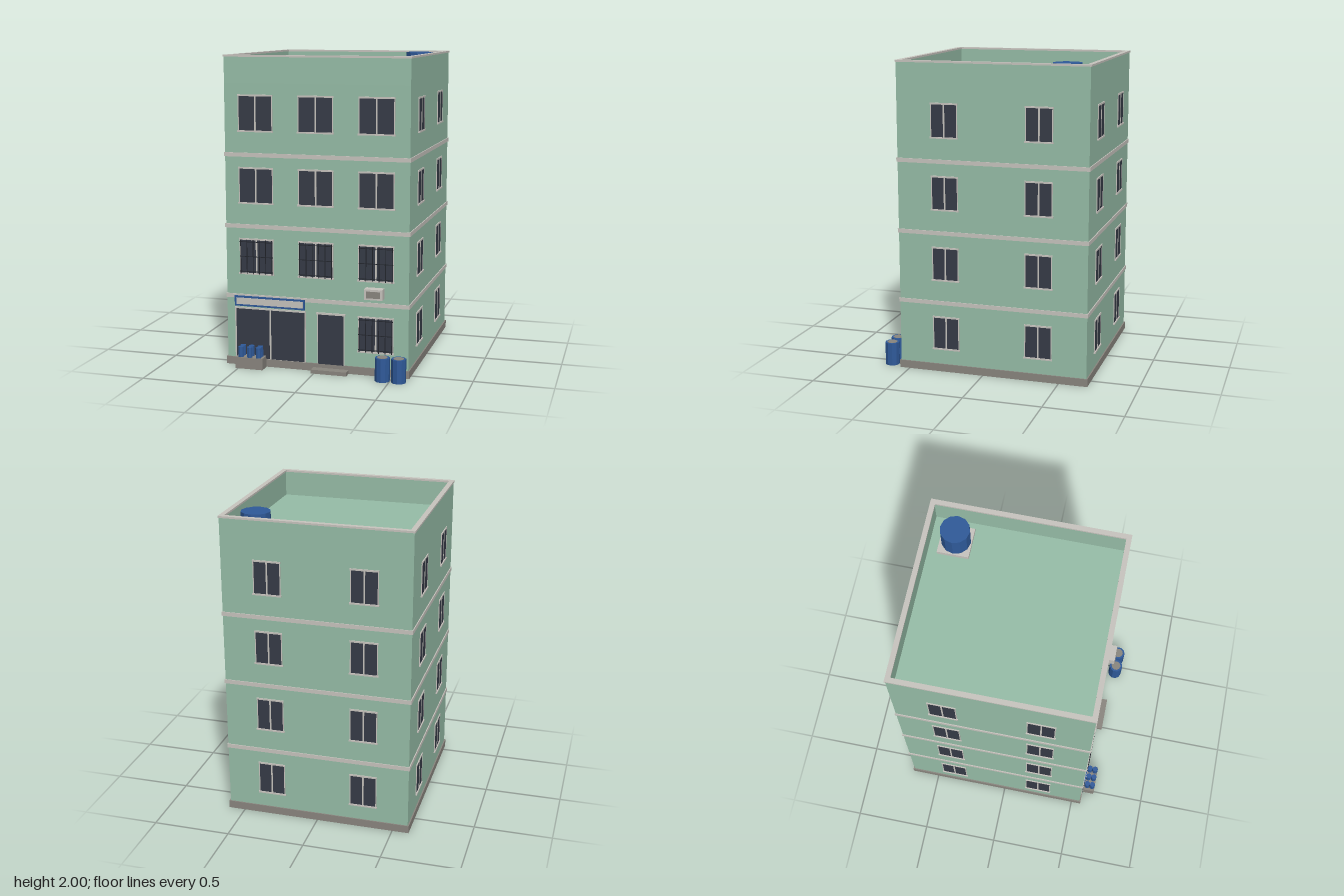
import * as THREE from 'three';

const mat = (name, color, flatShading = false) => {
  const m = new THREE.MeshStandardMaterial({ color, flatShading });
  m.name = name;
  return m;
};

export function createModel() {
  const wall = mat('green wall', 0x97bea8);
  const trim = mat('pale trim', 0xc8c5bf);
  const glass = mat('dark glass', 0x363b47);
  const stone = mat('grey concrete', 0x8a867f);
  const blue = mat('blue plastic', 0x2f5a9a, true);
  const iron = mat('black iron', 0x22252c);

  const model = new THREE.Group();
  model.name = 'apartmentBuilding';

  // Outer faces of the walls
  const X = 0.6, Z0 = -0.679, Z1 = 0.558, ROOF = 1.825, STOREY = 0.458;

  const add = (parent, name, geometry, material) => {
    const mesh = new THREE.Mesh(geometry, material);
    mesh.name = name;
    parent.add(mesh);
    return mesh;
  };
  // Box given by its limits on each axis
  const box = (parent, name, material, x0, x1, y0, y1, z0, z1) => {
    const mesh = add(parent, name, new THREE.BoxGeometry(x1 - x0, y1 - y0, z1 - z0), material);
    mesh.position.set((x0 + x1) / 2, (y0 + y1) / 2, (z0 + z1) / 2);
    return mesh;
  };
  const cylinder = (parent, name, material, r, y0, y1, x, z, sides) => {
    const mesh = add(parent, name, new THREE.CylinderGeometry(r, r, y1 - y0, sides), material);
    mesh.position.set(x, (y0 + y1) / 2, z);
    return mesh;
  };
  // Rectangular ring around the building, from 'out' outside the wall to 'inn' inside it
  const rect = (Type, d) => new Type([
    [-X - d, -Z1 - d], [X + d, -Z1 - d], [X + d, -Z0 + d], [-X - d, -Z0 + d],
  ].map(([x, y]) => new THREE.Vector2(x, y)));
  const ring = (name, material, out, inn, y0, y1) => {
    const shape = rect(THREE.Shape, out);
    shape.holes.push(rect(THREE.Path, -inn));
    const geometry = new THREE.ExtrudeGeometry(shape, { depth: y1 - y0, bevelEnabled: false });
    geometry.rotateX(-Math.PI / 2);
    add(model, name, geometry, material).position.y = y0;
  };

  // Main shell
  box(model, 'body', wall, -X, X, 0, ROOF, Z0, Z1);
  ring('parapet', wall, 0, 0.022, ROOF, 1.988);
  ring('parapetCoping', trim, 0.005, 0.027, 1.988, 2);
  ring('plinth', stone, 0.008, 0.01, 0, 0.05);
  for (let i = 1; i < 4; i++) {
    const y = STOREY * i + 0.001;
    ring('floorBand', trim, 0.006, 0.01, y - 0.013, y + 0.013);
  }

  // Facades: local +z points out of the wall, local z = 0 is the wall face
  const facade = (name, x, z, angle) => {
    const g = new THREE.Group();
    g.name = name;
    g.position.set(x, 0, z);
    g.rotation.y = angle;
    model.add(g);
    return g;
  };
  const front = facade('frontFacade', 0, Z1, 0);
  const back = facade('backFacade', 0, Z0, Math.PI);
  const left = facade('leftFacade', X, 0, Math.PI / 2);
  const right = facade('rightFacade', -X, 0, -Math.PI / 2);

  // Two-pane window with lintel, sill and an optional iron grille
  const addWindow = (parent, x, y, w, h, barred = false) => {
    const g = new THREE.Group();
    g.name = 'window';
    g.position.set(x, y, 0);
    parent.add(g);
    const a = w / 2;
    box(g, 'windowGlass', glass, -a, a, 0.008, h - 0.01, -0.01, 0.003);
    box(g, 'windowMullion', trim, -0.005, 0.005, 0.008, h - 0.01, -0.01, 0.005);
    for (const s of [-1, 1]) box(g, 'windowJamb', trim, s * a - 0.003, s * a + 0.003, 0.008, h - 0.01, -0.01, 0.005);
    box(g, 'windowLintel', trim, -a - 0.005, a + 0.005, h - 0.011, h, -0.01, 0.006);
    box(g, 'windowSill', trim, -a - 0.008, a + 0.008, 0, 0.01, -0.01, 0.01);
    if (!barred) return;
    for (let i = 0; i < 6; i++) {
      const bx = (i / 5 - 0.5) * (w - 0.012);
      box(g, 'grilleBar', iron, bx - 0.002, bx + 0.002, 0.004, h - 0.008, 0.009, 0.013);
    }
    for (const by of [0.02, h / 2, h - 0.022]) {
      box(g, 'grilleRail', iron, -a, a, by - 0.002, by + 0.002, 0.009, 0.013);
    }
  };

  for (let floor = 0; floor < 4; floor++) {
    const y = 0.146 + floor * STOREY;
    for (const x of [-0.395, 0, 0.39]) {
      if (floor > 0 || x > 0.1) addWindow(front, x, y, 0.222, 0.235, floor < 2);
    }
    for (const x of [-0.305, 0.305]) addWindow(back, x, y, 0.17, 0.223);
    for (const z of [-0.365, 0.245]) {
      addWindow(left, -z, y, 0.17, 0.223);
      addWindow(right, z, y, 0.17, 0.223);
    }
  }

  // Shop front with its sign panel
  box(front, 'shopFrame', trim, -0.547, -0.068, 0.05, 0.386, -0.01, 0.006);
  for (const [x0, x1] of [[-0.536, -0.312], [-0.3, -0.077]]) {
    box(front, 'shopGlass', glass, x0, x1, 0.052, 0.375, 0.002, 0.009);
  }
  box(front, 'signFrame', blue, -0.546, -0.073, 0.394, 0.461, -0.005, 0.012);
  box(front, 'signPanel', trim, -0.534, -0.085, 0.406, 0.449, 0.008, 0.014);

  // Entrance door and step
  box(front, 'doorFrame', trim, 0.008, 0.187, 0.05, 0.38, -0.01, 0.005);
  box(front, 'door', glass, 0.013, 0.182, 0.05, 0.374, 0, 0.008);
  box(front, 'doorLintel', trim, 0.003, 0.193, 0.374, 0.386, -0.01, 0.01);
  box(model, 'doorStep', stone, -0.018, 0.215, 0, 0.025, Z1, 0.622);

  // Air conditioner
  box(model, 'airConditioner', trim, 0.328, 0.445, 0.503, 0.57, Z1, 0.616);
  box(model, 'airConditionerGrille', stone, 0.343, 0.431, 0.515, 0.557, 0.612, 0.62);

  // Crate holding six blue bottles
  box(model, 'crate', stone, -0.517, -0.334, 0, 0.075, 0.572, 0.647);
  for (const x of [-0.484, -0.425, -0.366]) {
    for (const z of [0.591, 0.628]) cylinder(model, 'bottle', blue, 0.019, 0.07, 0.142, x, z, 8);
  }

  // Two barrels by the corner
  for (const x of [0.453, 0.557]) {
    cylinder(model, 'barrel', blue, 0.047, 0, 0.15, x, 0.639, 10);
    cylinder(model, 'barrelLid', stone, 0.034, 0.146, 0.152, x, 0.639, 10);
  }

  // Roof water tank on its slab
  box(model, 'tankSlab', trim, 0.33, 0.53, ROOF, ROOF + 0.025, -0.597, -0.397);
  cylinder(model, 'waterTank', blue, 0.093, ROOF + 0.025, 1.995, 0.43, -0.496, 12);

  return model;
}
